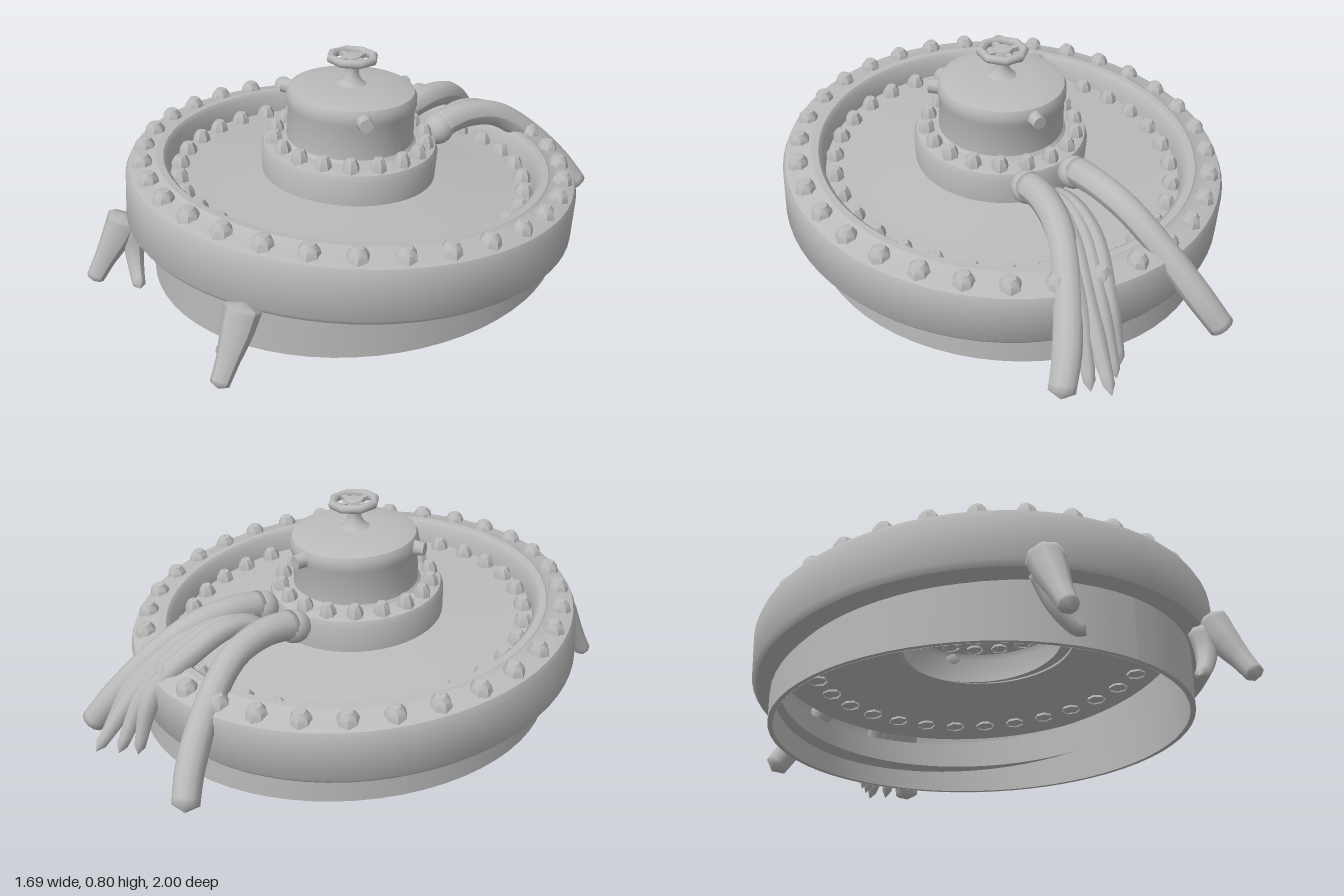
import * as THREE from 'three';
import { toCreasedNormals } from 'three/addons/utils/BufferGeometryUtils.js';

const metal = new THREE.MeshStandardMaterial({ color: 0xbababa, side: THREE.DoubleSide });
metal.name = 'grey metal';

const TILT = -0.087;
const v = (p) => new THREE.Vector3(...p);

function add(parent, name, geometry, x = 0, y = 0, z = 0) {
  const mesh = new THREE.Mesh(geometry, metal);
  mesh.name = name;
  mesh.position.set(x, y, z);
  parent.add(mesh);
  return mesh;
}

function lathe(profile, segments = 64) {
  const points = profile.map(([r, y]) => new THREE.Vector2(r, y));
  return toCreasedNormals(new THREE.LatheGeometry(points, segments), 0.75);
}

// Tube with a radius that varies along its path, closed ends, kept above the floor
function taperedTube(path, radii, sides = 10, steps = 28) {
  const curve = new THREE.CatmullRomCurve3(path.map(v));
  const geometry = new THREE.TubeGeometry(curve, steps, 1, sides, false);
  const pos = geometry.attributes.position;
  const p = new THREE.Vector3();
  for (let i = 0; i <= steps; i++) {
    const t = i / steps;
    const f = t * (radii.length - 1);
    const k = Math.min(Math.floor(f), radii.length - 2);
    const radius = i === 0 || i === steps ? 0.001 : THREE.MathUtils.lerp(radii[k], radii[k + 1], f - k);
    const centre = curve.getPointAt(t);
    for (let j = 0; j <= sides; j++) {
      const n = i * (sides + 1) + j;
      p.fromBufferAttribute(pos, n).sub(centre).multiplyScalar(radius).add(centre);
      pos.setXYZ(n, p.x, Math.max(0, p.y), p.z);
    }
  }
  geometry.computeVertexNormals();
  return geometry;
}

// Ring of small worn, rounded bolts
function boltRing(parent, name, count, radius, y, size, height) {
  const geometry = lathe([[size, -height / 2], [size * 0.85, height * 0.1], [size * 0.5, height / 2], [0.001, height * 0.55]], 7);
  for (let i = 0; i < count; i++) {
    const a = ((i + 0.5) / count) * Math.PI * 2;
    add(parent, name, geometry, Math.sin(a) * radius, y, Math.cos(a) * radius).rotation.y = a;
  }
}

export function createModel() {
  const model = new THREE.Group();
  model.name = 'hatch';

  // Upright hollow skirt, slightly oval, its top following the tilted lid
  const skirt = new THREE.Group();
  skirt.name = 'skirt';
  model.add(skirt);
  const oval = 1.09;
  const wall = (radius) => {
    const g = new THREE.CylinderGeometry(radius, radius, 1, 64, 1, true);
    const pos = g.attributes.position;
    for (let i = 0; i < pos.count; i++) {
      const z = pos.getZ(i) * oval;
      pos.setZ(i, z);
      pos.setY(i, pos.getY(i) < 0 ? 0 : 0.275 + z * 0.087);
    }
    g.computeVertexNormals();
    return g;
  };
  add(skirt, 'skirtOuterWall', wall(0.75), 0, 0, 0.02);
  add(skirt, 'skirtInnerWall', wall(0.732), 0, 0, 0.02);
  const rim = add(skirt, 'skirtRim', new THREE.RingGeometry(0.732, 0.75, 64), 0, 0.001, 0.02);
  rim.rotation.x = Math.PI / 2;
  rim.scale.y = oval;

  // Tilted flange ring around a recessed plate that rises towards the collar
  const lid = new THREE.Group();
  lid.name = 'lid';
  lid.position.set(0, 0.27, 0.05);
  lid.rotation.x = TILT;
  lid.scale.z = 1.02;
  model.add(lid);
  add(lid, 'flangeRing', lathe([
    [0.75, -0.12], [0.83, -0.12], [0.845, -0.1], [0.845, 0.06], [0.835, 0.085],
    [0.8, 0.1], [0.745, 0.105], [0.735, 0.115], [0.71, 0.115], [0.695, 0.1], [0.685, 0.025],
  ], 72));
  add(lid, 'recessedPlate', lathe([[0.78, 0.022], [0.68, 0.025], [0.5, 0.04], [0.3, 0.06]], 72));
  boltRing(lid, 'outerBolt', 32, 0.785, 0.112, 0.042, 0.05);
  boltRing(lid, 'innerBolt', 32, 0.652, 0.045, 0.038, 0.05);

  // Collar and turret, open underneath
  const turret = new THREE.Group();
  turret.name = 'turret';
  turret.position.set(0, 0.34, 0.068);
  turret.rotation.x = -0.06;
  model.add(turret);
  add(turret, 'collar', lathe([
    [0.33, -0.02], [0.335, 0.085], [0.325, 0.108], [0.3, 0.115], [0.25, 0.118], [0.24, 0.13],
  ], 48));
  add(turret, 'drum', lathe([
    [0.24, 0.12], [0.238, 0.25], [0.244, 0.265], [0.244, 0.3], [0.235, 0.318],
    [0.2, 0.33], [0.1, 0.337], [0.001, 0.34],
  ], 48));
  boltRing(turret, 'collarBolt', 18, 0.287, 0.132, 0.034, 0.05);

  // Three side lugs
  for (const degrees of [60, 180, 300]) {
    const a = THREE.MathUtils.degToRad(degrees);
    const g = toCreasedNormals(new THREE.CylinderGeometry(0.026, 0.034, 0.07, 8).rotateX(Math.PI / 2), 0.9);
    add(turret, 'lug', g, Math.sin(a) * 0.245, 0.28, Math.cos(a) * 0.245).rotation.y = a;
  }

  // Valve stem and spoked handwheel
  const valve = new THREE.Group();
  valve.name = 'valve';
  valve.position.set(0, 0.33, 0.005);
  turret.add(valve);
  add(valve, 'stem', lathe([
    [0.07, 0], [0.045, 0.015], [0.028, 0.04], [0.024, 0.075], [0.04, 0.1], [0.035, 0.118], [0.001, 0.122],
  ], 16));
  const wheel = new THREE.TorusGeometry(0.082, 0.017, 8, 8).rotateX(Math.PI / 2);
  add(valve, 'handwheel', wheel, 0, 0.108, 0).rotation.y = Math.PI / 8;
  for (const turn of [0, Math.PI / 2]) {
    add(valve, 'spoke', new THREE.BoxGeometry(0.15, 0.016, 0.022), 0, 0.106, 0).rotation.y = turn;
  }

  // Front legs with inner braces
  for (const s of [-1, 1]) {
    const leg = new THREE.Group();
    leg.name = s > 0 ? 'leftLeg' : 'rightLeg';
    model.add(leg);
    add(leg, 'strut', taperedTube(
      [[s * 0.375, 0.25, 0.83], [s * 0.385, 0.17, 0.87], [s * 0.4, 0.08, 0.925], [s * 0.41, 0.0, 0.975]],
      [0.065, 0.056, 0.04, 0.032], 8, 20));
    add(leg, 'brace', taperedTube(
      [[s * 0.36, 0.22, 0.81], [s * 0.34, 0.11, 0.83], [s * 0.3, 0.04, 0.85], [s * 0.25, 0.0, 0.87]],
      [0.055, 0.04, 0.03, 0.022], 8, 14));
  }

  // Rear hoses running over the rim to the floor
  const hoses = new THREE.Group();
  hoses.name = 'hoses';
  model.add(hoses);
  for (const s of [-1, 1]) {
    add(hoses, 'hoseSocket', new THREE.SphereGeometry(0.062, 14, 10), s * 0.1, 0.41, -0.31);
    add(hoses, 'hose', taperedTube([
      [s * 0.1, 0.42, -0.3], [s * 0.11, 0.433, -0.45], [s * 0.14, 0.4, -0.6],
      [s * 0.2, 0.29, -0.745], [s * 0.275, 0.14, -0.87], [s * 0.34, 0.02, -0.94],
    ], [0.055, 0.052, 0.05, 0.05, 0.052, 0.047], 12, 36));
  }

  // Bundle of loose strands between the hoses, fraying at the floor
  for (const [start, end, reach] of [[0.02, 0.07, -0.89], [0.045, 0.12, -0.94], [0.07, 0.18, -1.0], [0.09, 0.23, -0.95]]) {
    const mid = (start + end) / 2;
    add(hoses, 'strand', taperedTube([
      [start, 0.39, -0.36], [start + 0.01, 0.415, -0.5], [mid - 0.01, 0.37, -0.64],
      [mid + 0.03, 0.235, -0.8], [end, 0.01, reach],
    ], [0.028, 0.04, 0.042, 0.036, 0.018], 8, 24));
  }
  return model;
}
